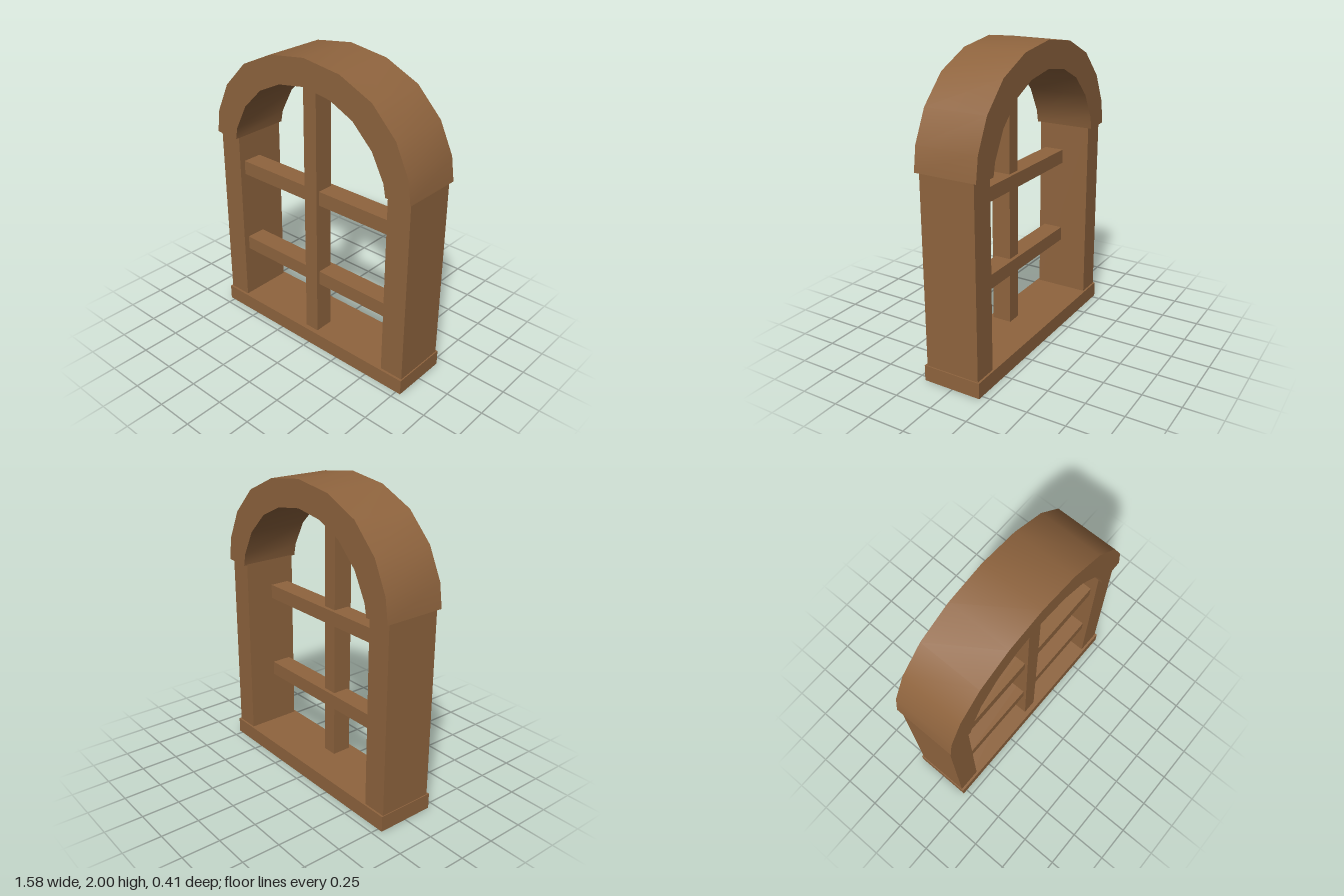
import * as THREE from 'three';
import { toCreasedNormals } from 'three/addons/utils/BufferGeometryUtils.js';

export function createModel() {
  const group = new THREE.Group();
  group.name = 'archedWindow';
  const wood = new THREE.MeshStandardMaterial({ color: 0x8f643e });
  wood.name = 'brown wood';

  const add = (name, geometry) => {
    const mesh = new THREE.Mesh(geometry, wood);
    mesh.name = name;
    group.add(mesh);
    return mesh;
  };
  // Box given by its lower and upper limits on each axis
  const box = (name, [x0, x1], [y0, y1], [z0, z1]) =>
    add(name, new THREE.BoxGeometry(x1 - x0, y1 - y0, z1 - z0))
      .position.set((x0 + x1) / 2, (y0 + y1) / 2, (z0 + z1) / 2);

  // Sill and side posts
  box('sill', [-0.783, 0.783], [0, 0.104], [-0.195, 0.2]);
  box('rightPost', [-0.777, -0.616], [0.104, 1.335], [-0.182, 0.184]);
  box('leftPost', [0.614, 0.775], [0.104, 1.335], [-0.182, 0.184]);

  // Glazing bars: upright in front, crossbars set slightly further back
  box('mullion', [-0.046, 0.054], [0.1, 1.828], [0.035, 0.167]);
  for (const [name, y] of [['lowerCrossbar', 0.47], ['upperCrossbar', 1.053]]) {
    box(name, [-0.62, 0.618], [y, y + 0.096], [0.01, 0.145]);
  }

  // Faceted arch: half profiles from crown to foot, mirrored
  const outer = [[0, 2], [0.27, 1.963], [0.503, 1.857], [0.672, 1.685], [0.765, 1.49], [0.788, 1.335]];
  const inner = [[0, 1.828], [0.2, 1.797], [0.367, 1.718], [0.51, 1.578], [0.598, 1.41], [0.615, 1.327]];
  const span = (half) => [
    ...half.slice(1).reverse().map(([x, y]) => new THREE.Vector2(-x, y)),
    ...half.map(([x, y]) => new THREE.Vector2(x, y)),
  ];
  const shape = new THREE.Shape([...span(outer), ...span(inner).reverse()]);
  const arch = new THREE.ExtrudeGeometry(shape, { depth: 0.414, bevelEnabled: false });
  arch.translate(0, 0, -0.205);
  add('arch', toCreasedNormals(arch, 0.7));

  return group;
}
